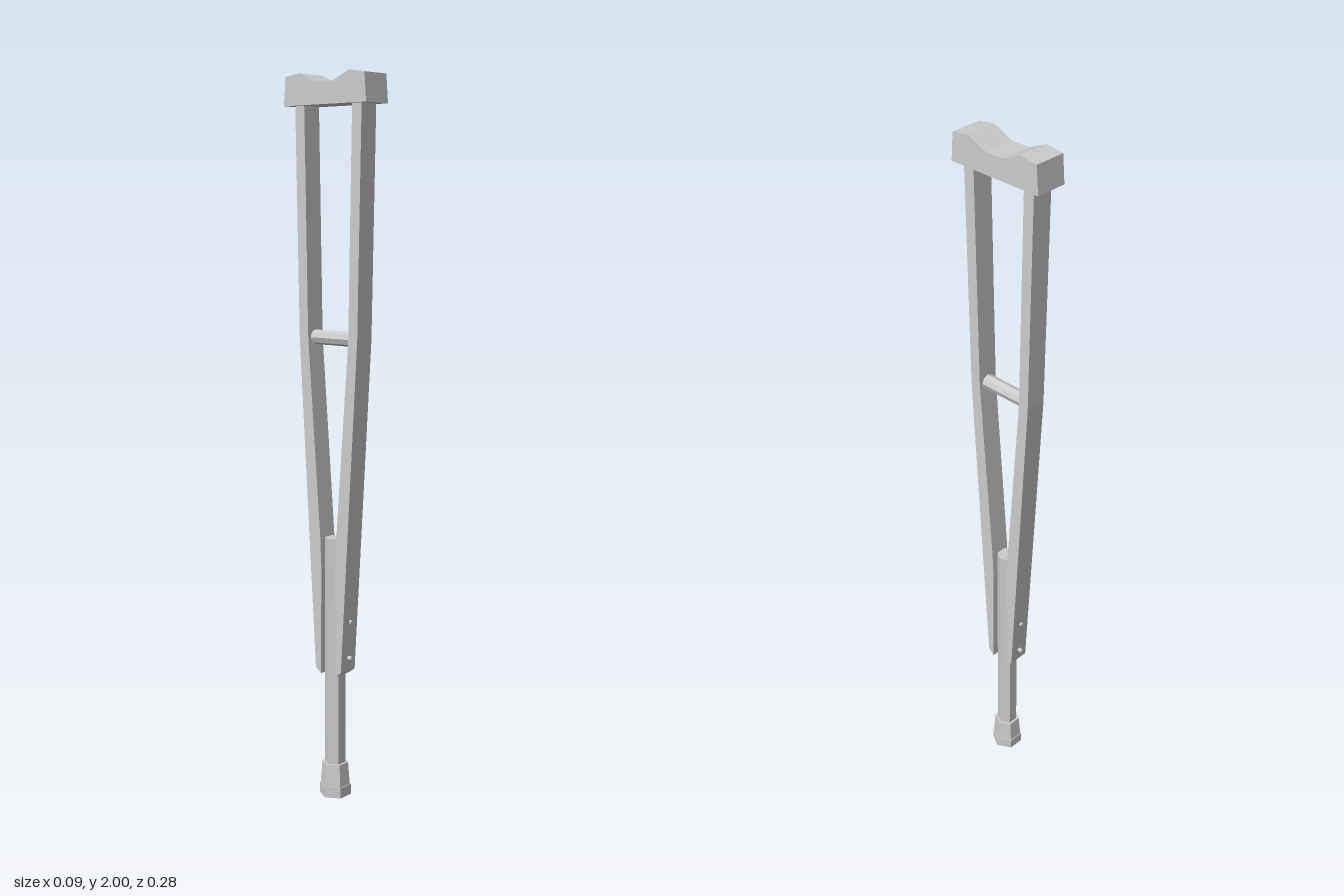
import * as THREE from 'three';

const material = new THREE.MeshStandardMaterial({ color: 0xcccccc, flatShading: true });

function add(parent, name, geometry, y = 0) {
  const mesh = new THREE.Mesh(geometry, material);
  mesh.name = name;
  mesh.position.y = y;
  parent.add(mesh);
  return mesh;
}

// Side profile given as [z, y] points, extruded along x and centred
function sideExtrude(points, width) {
  const shape = new THREE.Shape(points.map(([z, y]) => new THREE.Vector2(z, y)));
  const geometry = new THREE.ExtrudeGeometry(shape, { depth: width, bevelEnabled: false });
  return geometry.translate(0, 0, -width / 2).rotateY(-Math.PI / 2);
}

// Upright hexagonal prism with corners on the x axis
function hexPrism(rTop, rBottom, y0, y1) {
  return new THREE.CylinderGeometry(rTop, rBottom, y1 - y0, 6)
    .rotateY(Math.PI / 2).translate(0, (y0 + y1) / 2, 0);
}

// Horizontal bar along z
function barZ(radius, length, sides) {
  return new THREE.CylinderGeometry(radius, radius, length, sides).rotateX(Math.PI / 2);
}

export function createModel() {
  const group = new THREE.Group();
  group.name = 'crutch';

  // Underarm pad with a dipped top
  const halfPad = [[0.142, 1.917], [0.136, 1.993], [0.085, 2], [0.0285, 1.975]];
  const mirrored = halfPad.map(([z, y]) => [-z, y]).reverse();
  add(group, 'underarmPad', sideExtrude([...halfPad, ...mirrored], 0.09));

  // Two bent rails closing in on the pole
  const rail = [
    [0.115, 1.925], [0.102, 1.3], [0.046, 0.372], [0.027, 0.357],
    [0.025, 0.66], [0.029, 0.75], [0.071, 1.3], [0.083, 1.925],
  ];
  for (const side of [1, -1]) {
    const points = rail.map(([z, y]) => [z * side, y]);
    add(group, side > 0 ? 'frontRail' : 'backRail', sideExtrude(points, 0.06));
  }

  // Hand grip between the rails
  add(group, 'handGrip', barZ(0.02, 0.148, 8), 1.3);

  // Lower pole and stepped foot tip
  add(group, 'pole', hexPrism(0.029, 0.029, 0.02, 0.747));
  const foot = new THREE.Group();
  foot.name = 'footTip';
  group.add(foot);
  add(foot, 'footCollar', hexPrism(0.037, 0.042, 0.03, 0.095));
  add(foot, 'footBase', hexPrism(0.045, 0.045, 0, 0.03));

  // Bolts through the rails and pole
  for (const y of [0.41, 0.515]) add(group, 'bolt', barZ(0.006, 0.124, 8), y);

  return group;
}
